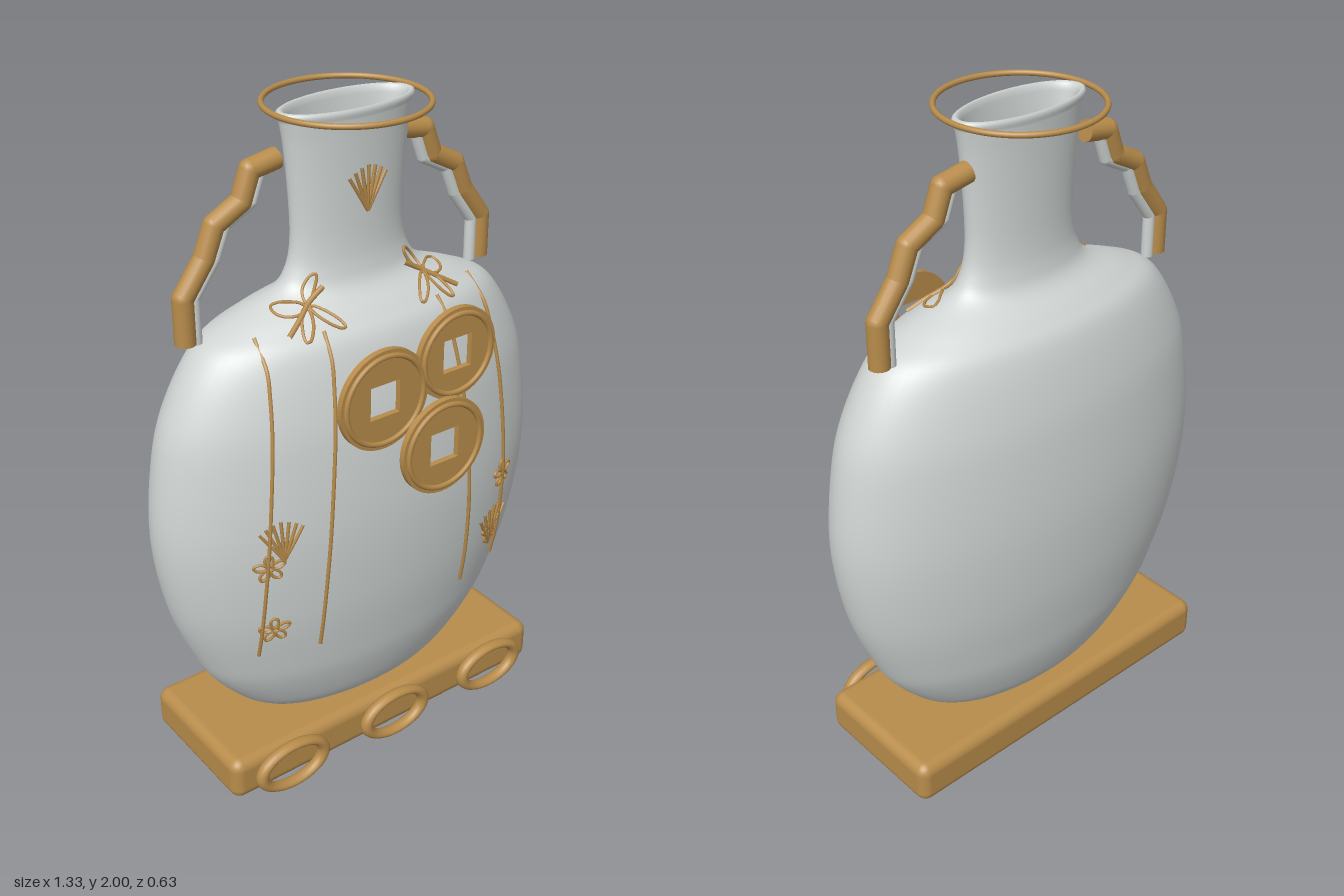
import * as THREE from 'three';
import { RoundedBoxGeometry } from 'three/addons/geometries/RoundedBoxGeometry.js';

const ZC = -0.032;   // centre of the flask in depth
const FLAT = 0.427;  // depth of the flask relative to its width

const v2 = (x, y) => new THREE.Vector2(x, y);
const profile = new THREE.SplineCurve([
  [0.35, 0.15], [0.415, 0.2], [0.5, 0.3], [0.555, 0.4], [0.628, 0.6], [0.663, 0.85],
  [0.638, 1.1], [0.59, 1.25], [0.5, 1.39], [0.39, 1.45], [0.25, 1.505], [0.202, 1.56],
  [0.184, 1.64], [0.186, 1.76], [0.198, 1.9], [0.21, 1.975],
].map(p => v2(...p))).getPoints(90);

// half width of the flask at a height
function radiusAt(y) {
  for (let i = 1; i < profile.length; i++) {
    const a = profile[i - 1], b = profile[i];
    if (y <= b.y) return a.x + (b.x - a.x) * Math.max(0, (y - a.y) / (b.y - a.y));
  }
  return profile[profile.length - 1].x;
}

// a point on the front face of the flask
function onFlask([x, y]) {
  const r = radiusAt(y);
  return new THREE.Vector3(x, y, ZC + 0.004 + FLAT * Math.sqrt(Math.max(0, r * r - x * x)));
}

export function createModel() {
  const model = new THREE.Group();
  const porcelain = new THREE.MeshStandardMaterial({ color: 0xd0d5d4 });
  const gold = new THREE.MeshStandardMaterial({ color: 0xb88c4b });

  function add(name, geometry, material, parent = model) {
    const mesh = new THREE.Mesh(geometry, material);
    mesh.name = name;
    parent.add(mesh);
    return mesh;
  }
  function group(name) {
    const g = new THREE.Group();
    g.name = name;
    model.add(g);
    return g;
  }

  // Flattened flask: outer wall, rounded lip and inner wall
  const lip = [[0.217, 1.983], [0.215, 1.993], [0.205, 1.997], [0.194, 1.992], [0.186, 1.975]];
  const inner = [[0.175, 1.9], [0.156, 1.76], [0.152, 1.62], [0.17, 1.55], [0.35, 1.42],
    [0.54, 1.25], [0.62, 0.85], [0.51, 0.4], [0.32, 0.16]];
  const flask = add('flask', new THREE.LatheGeometry(
    [...profile, ...[...lip, ...inner].map(p => v2(...p))], 72), porcelain);
  flask.scale.z = FLAT;
  flask.position.z = ZC;

  // Round wire ring at the mouth
  const ring = add('mouthRing', new THREE.TorusGeometry(0.225, 0.008, 10, 64), gold);
  ring.rotation.x = Math.PI / 2;
  ring.position.set(0, 1.992, ZC);

  // Base with three oval loops along its front
  add('base', new RoundedBoxGeometry(1.17, 0.14, 0.46, 4, 0.035), gold).position.set(0, 0.086, ZC);
  for (const x of [-0.39, 0, 0.39]) {
    const loop = add('baseLoop', new THREE.TorusGeometry(0.112, 0.02, 12, 40), gold);
    loop.scale.y = 0.63;
    loop.position.set(x, 0.085, 0.217);
  }

  // Angular handles made of straight rods, with a pale lining inside
  const path = [[0.205, 1.87], [0.29, 1.855], [0.32, 1.775], [0.405, 1.73], [0.44, 1.645],
    [0.51, 1.55], [0.51, 1.42]];
  function rods(parent, name, points, radius, material) {
    points.forEach((p, i) => {
      if (i === 0) return;
      const d = p.clone().sub(points[i - 1]);
      const rod = add(name, new THREE.CylinderGeometry(radius, radius, d.length(), 16), material, parent);
      rod.position.copy(p).addScaledVector(d, -0.5);
      rod.quaternion.setFromUnitVectors(new THREE.Vector3(0, 1, 0), d.normalize());
      if (i < points.length - 1)
        add(name + 'Joint', new THREE.SphereGeometry(radius, 16, 10), material, parent).position.copy(p);
    });
  }
  for (const side of [1, -1]) {
    const handle = group(side > 0 ? 'leftHandle' : 'rightHandle');
    const shifted = (dx, dy) => path.map(([x, y]) => new THREE.Vector3(side * (x + dx), y + dy, -0.062));
    rods(handle, 'handleRod', shifted(0, 0), 0.03, gold);
    rods(handle, 'handleLining', shifted(-0.032, -0.006).slice(1), 0.018, porcelain);
  }

  // Coins with a square hole and a raised rim
  for (const [x, y, z, r] of [[-0.085, 1.25, 0.238, 0.15], [0.166, 1.317, 0.24, 0.138], [0.09, 1.068, 0.287, 0.147]]) {
    const coin = group('coin');
    coin.position.set(x, y, z);
    const shape = new THREE.Shape().absarc(0, 0, r, 0, Math.PI * 2);
    shape.holes.push(new THREE.Path([v2(-0.05, -0.05), v2(-0.05, 0.05), v2(0.05, 0.05), v2(0.05, -0.05)]));
    add('coinDisc', new THREE.ExtrudeGeometry(shape, { depth: 0.018, bevelEnabled: false, curveSegments: 32 }), gold, coin);
    const rim = add('coinRim', new THREE.TorusGeometry(r - 0.018, 0.008, 8, 48), gold, coin);
    rim.position.z = 0.019;
  }

  // Fine wire ornament laid over the front of the flask
  function wire(name, points, parent = model, closed = false, radius = 0.005) {
    const curve = new THREE.CatmullRomCurve3(points.map(onFlask), closed);
    add(name, new THREE.TubeGeometry(curve, points.length * 4, radius, 6, closed), gold, parent);
  }
  function petal(parent, name, [x, y], angle, offset, length, width) {
    const points = [];
    for (let i = 0; i < 10; i++) {
      const t = i / 10 * Math.PI * 2;
      const u = offset + length * Math.cos(t), w = width * Math.sin(t);
      points.push([x + u * Math.cos(angle) - w * Math.sin(angle), y + u * Math.sin(angle) + w * Math.cos(angle)]);
    }
    wire(name, points, parent, true, 0.0045);
  }

  // Long stems, top x to bottom x
  for (const [top, bottom] of [[0.368, 0.445], [0.195, 0.268]]) {
    for (const side of [1, -1]) {
      const points = [];
      for (let i = 0; i <= 14; i++) {
        const t = i / 14;
        points.push([side * (top + (bottom - top) * Math.sin(t * Math.PI / 2)), 1.44 - 0.97 * t]);
      }
      wire('stem', points, model, false, 0.006);
    }
  }

  // Fans of seven blades
  for (const [x, y, length, tilt] of [[0, 1.715, 0.13, 0], [-0.39, 0.82, 0.13, 0.05], [0.4, 0.54, 0.15, -0.05]]) {
    const fan = group('leafFan');
    if (x === 0) fan.position.z = 0.012;
    for (let i = -3; i <= 3; i++) {
      const a = i * 0.18 - tilt, l = length * (1 - 0.03 * Math.abs(i));
      wire('blade', [0, 0.5, 1].map(t => [x + Math.sin(a) * l * t, y + Math.cos(a) * l * t]), fan);
    }
  }

  // Five-petalled blossoms
  for (const c of [[-0.43, 0.8], [-0.41, 0.57], [0.43, 0.8], [0.4, 0.595]]) {
    const flower = group('blossom');
    for (let i = 0; i < 5; i++) petal(flower, 'petal', c, 0.4 + i * Math.PI * 0.4, 0.026, 0.018, 0.011);
  }

  // Winged insects on the shoulders
  for (const side of [1, -1]) {
    const insect = group('insect');
    wire('insectBody', [0, 0.33, 0.67, 1].map(t => [side * (0.29 - 0.15 * t), 1.437 + 0.088 * t]), insect, false, 0.008);
    for (const a of [0.1, 0.9, 2.5, 4.1])
      petal(insect, 'wing', [side * 0.2, 1.49], side > 0 ? -a : Math.PI + a, 0.045, 0.04, 0.012);
  }
  return model;
}
